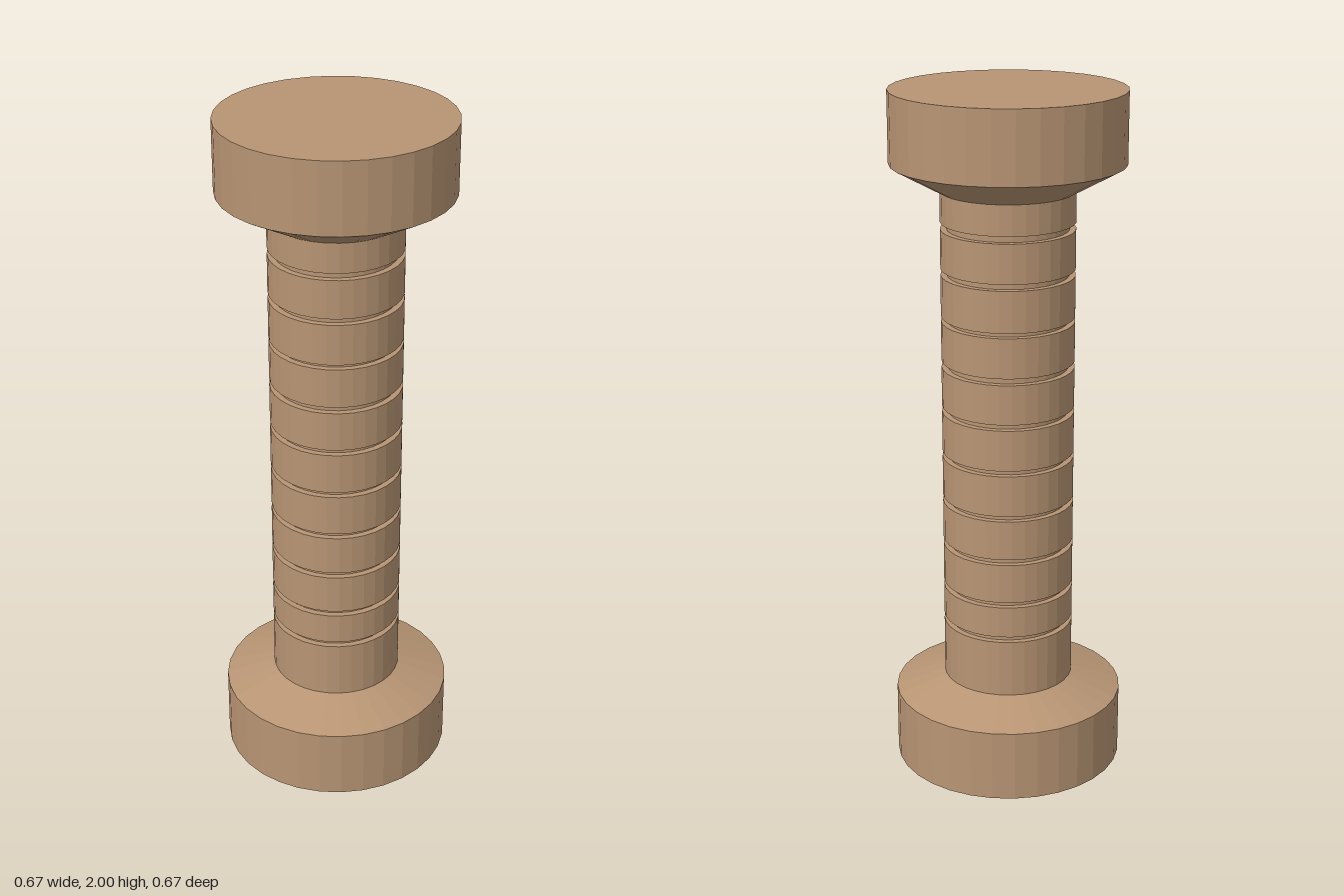
import * as THREE from 'three';

const SIDES = 32;

export function createModel() {
  const group = new THREE.Group();
  const clay = new THREE.MeshStandardMaterial({ color: 0xb89574, flatShading: true });
  clay.name = 'tan';

  // Turned part from [radius, height] pairs, listed bottom to top
  function turned(name, profile) {
    const points = profile.map(([r, y]) => new THREE.Vector2(r, y));
    const mesh = new THREE.Mesh(new THREE.LatheGeometry(points, SIDES), clay);
    mesh.name = name;
    group.add(mesh);
  }

  // Base disc with a shallow sloping shoulder
  turned('base', [[0, 0], [0.335, 0], [0.335, 0.21], [0.19, 0.26]]);

  // Shaft with narrow square-cut grooves: [bottom, top] of each
  const grooves = [
    [0.43, 0.447], [0.54, 0.556], [0.673, 0.69], [0.807, 0.823], [0.944, 0.96],
    [1.08, 1.097], [1.213, 1.232], [1.348, 1.362], [1.482, 1.5], [1.613, 1.633],
  ];
  const shaft = [[0.19, 0.26]];
  for (const [low, high] of grooves) {
    shaft.push([0.19, low], [0.172, low], [0.172, high], [0.19, high]);
  }
  shaft.push([0.19, 1.72]);
  turned('shaft', shaft);

  // Cap disc with a steeper flared underside
  turned('cap', [[0.19, 1.72], [0.33, 1.797], [0.33, 2], [0, 2]]);

  return group;
}
